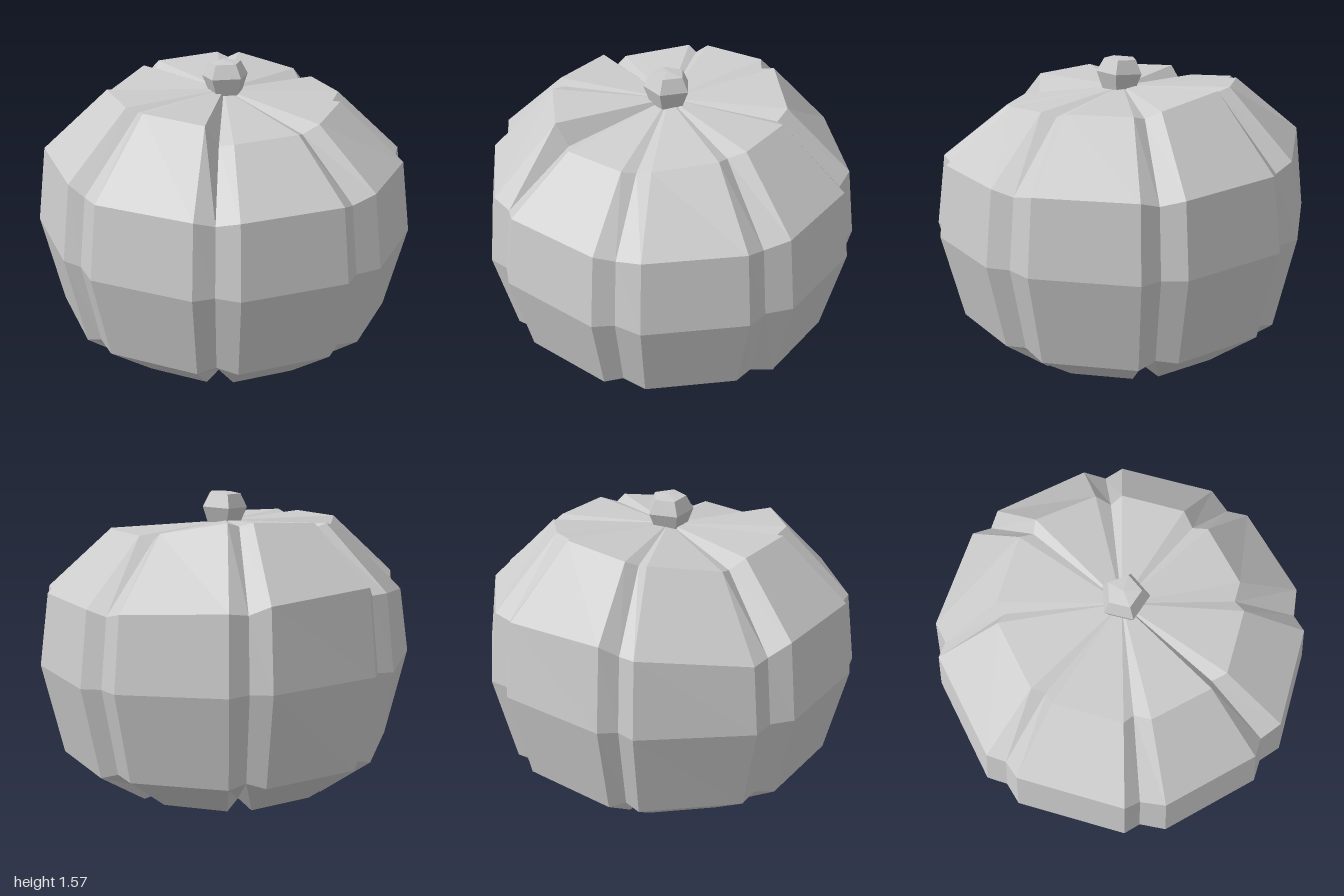
import * as THREE from 'three';

const material = new THREE.MeshStandardMaterial({ color: 0xcccccc, flatShading: true });
const DEG = Math.PI / 180;

// Ring radii from bottom to top, on the ridges and in the grooves
const RIDGE_R = [0.6, 0.885, 0.995, 0.945, 0.605];
const GROOVE_R = [0.55, 0.85, 0.95, 0.905, 0.565];
const POLE_LOW = 0.05, POLE_HIGH = 1.42;

// Angle of the ridges before and after each groove, in degrees
const SPREAD = [[8, 6], [7, 6], [7.6, 4.8], [6.6, 6], [4.8, 5.2], [6, 5.7], [7, 5.8], [8, 6.5]];

// Each lobe: ring heights [lower, middle, upper, top] at its start and end edge
const LOBES = [
  [[0.24, 0.69, 1.065, 1.33], [0.24, 0.69, 1.06, 1.32]],
  [[0.24, 0.69, 1.06, 1.41], [0.24, 0.69, 1.065, 1.43]],
  [[0.24, 0.72, 1.11, 1.43], [0.24, 0.72, 1.12, 1.43]],
  [[0.24, 0.71, 1.05, 1.39], [0.24, 0.73, 1.12, 1.44]],
  [[0.24, 0.74, 1.17, 1.45], [0.24, 0.73, 1.13, 1.47]],
  [[0.24, 0.72, 1.1, 1.47], [0.23, 0.7, 1.07, 1.41]],
  [[0.21, 0.69, 1.07, 1.39], [0.21, 0.69, 1.07, 1.39]],
  [[0.24, 0.69, 1.07, 1.38], [0.24, 0.69, 1.07, 1.35]],
];

// One upright cross-section of points from the lower pole to the upper pole
function column(degrees, radii, heights) {
  const c = Math.cos(degrees * DEG), s = Math.sin(degrees * DEG);
  return [
    [0, POLE_LOW, 0],
    ...radii.map((r, i) => [r * c, heights[i], r * s]),
    [0, POLE_HIGH, 0],
  ];
}

// Lobed body: ridge, groove, ridge at every 45 degrees
function bodyGeometry() {
  const columns = [];
  for (let k = 0; k < 8; k++) {
    const before = LOBES[(k + 7) % 8][1], after = LOBES[k][0];
    const mean = (i) => (before[i] + after[i]) / 2;
    const groove = [0.07, mean(0) + 0.02, mean(1), mean(2) - 0.03, Math.min(before[3], after[3]) - 0.02];
    columns.push(
      column(k * 45 - SPREAD[k][0], RIDGE_R, [0.02, ...before]),
      column(k * 45, GROOVE_R, groove),
      column(k * 45 + SPREAD[k][1], RIDGE_R, [0.02, ...after]),
    );
  }
  const positions = [];
  columns.forEach((here, i) => {
    const next = columns[(i + 1) % columns.length];
    const last = here.length - 2;
    for (let j = 0; j <= last; j++) {
      if (j < last) positions.push(...here[j], ...here[j + 1], ...next[j + 1]);
      if (j === last) positions.push(...here[j], ...here[j + 1], ...next[j]);
      else if (j > 0) positions.push(...here[j], ...next[j + 1], ...next[j]);
    }
  });
  const geometry = new THREE.BufferGeometry();
  geometry.setAttribute('position', new THREE.Float32BufferAttribute(positions, 3));
  geometry.computeVertexNormals();
  return geometry;
}

// Five-sided turned knob from a [radius, height] profile
function knob(profile) {
  const points = profile.map(([r, y]) => new THREE.Vector2(r, y));
  return new THREE.LatheGeometry(points, 5, 87 * DEG);
}

export function createModel() {
  const model = new THREE.Group();
  model.name = 'pumpkin';
  const add = (name, geometry) => {
    const mesh = new THREE.Mesh(geometry, material);
    mesh.name = name;
    model.add(mesh);
    return mesh;
  };

  add('body', bodyGeometry());

  // Short stem, tipped slightly to one side
  const stem = add('stem', knob([[0, -0.09], [0.09, -0.09], [0.125, 0], [0.088, 0.07], [0, 0.08]]));
  stem.position.set(0.012, 1.495, 0);
  stem.rotation.z = 0.05;

  // Small bump under the body
  add('blossomEnd', knob([[0, 0], [0.06, 0.005], [0.1, 0.04], [0.08, 0.08]]));

  return model;
}
